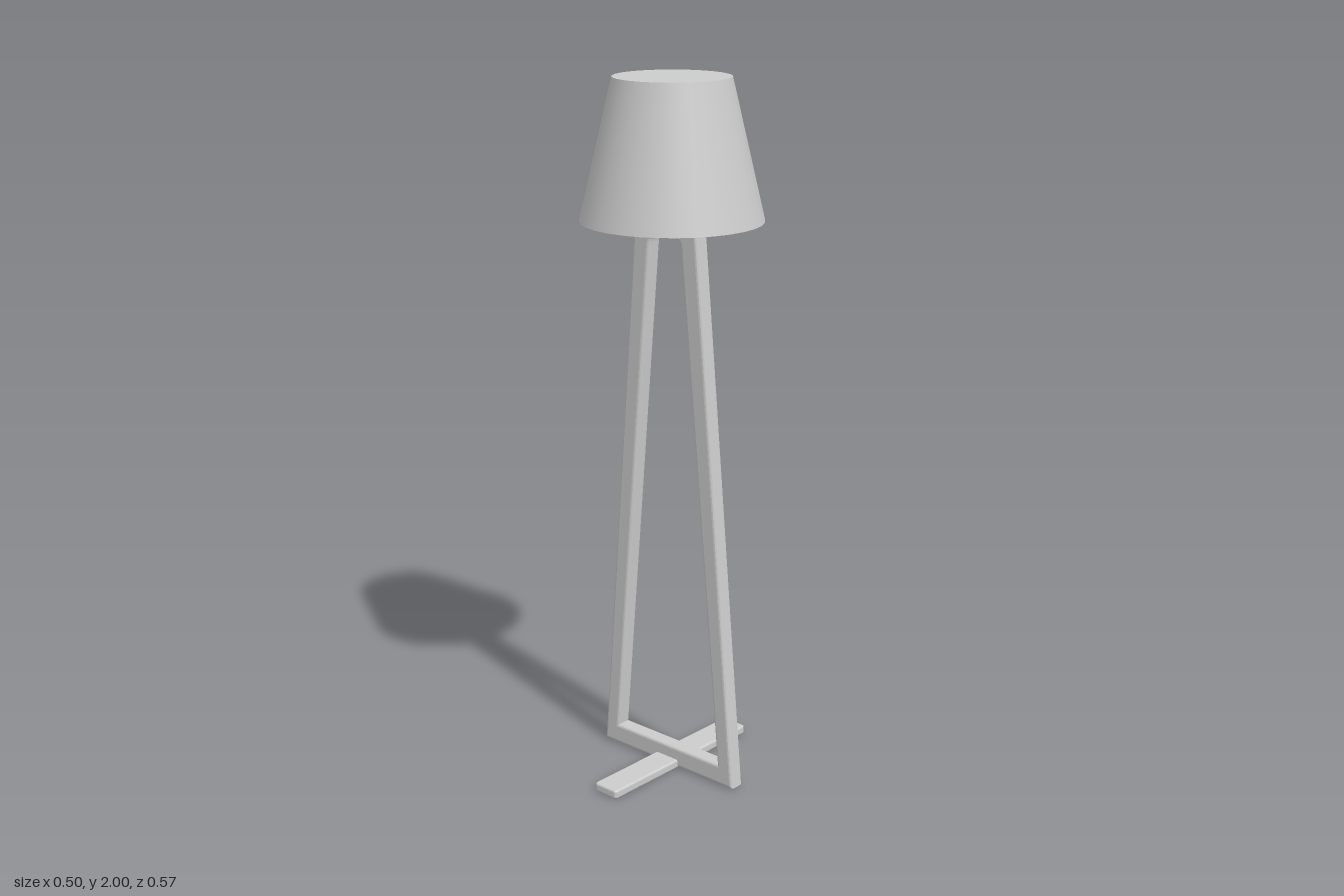
import * as THREE from 'three';

const material = new THREE.MeshStandardMaterial({ color: 0xcccccc });
const thinMaterial = new THREE.MeshStandardMaterial({ color: 0xcccccc, side: THREE.DoubleSide });

function addMesh(parent, name, geometry, mat = material) {
  const mesh = new THREE.Mesh(geometry, mat);
  mesh.name = name;
  parent.add(mesh);
  return mesh;
}

// Extrusion of a given total depth, centred on z, with softened edges inside the outline
function softExtrude(shape, depth, bevel) {
  const geometry = new THREE.ExtrudeGeometry(shape, {
    depth: depth - 2 * bevel, bevelThickness: bevel, bevelSize: bevel,
    bevelOffset: -bevel, bevelSegments: 3, curveSegments: 5,
  });
  return geometry.translate(0, 0, bevel - depth / 2);
}

function rod(parent, name, from, to, radius) {
  const path = new THREE.LineCurve3(new THREE.Vector3(...from), new THREE.Vector3(...to));
  return addMesh(parent, name, new THREE.TubeGeometry(path, 1, radius, 8));
}

export function createModel() {
  const lamp = new THREE.Group();
  lamp.name = 'floorLamp';

  // Tapered frame with a trapezoid opening, rounded at its upper corners
  const outline = new THREE.Shape();
  outline.moveTo(-0.25, 0.003);
  outline.lineTo(0.25, 0.003);
  outline.lineTo(0.102, 1.628);
  outline.lineTo(-0.118, 1.628);
  outline.closePath();
  const opening = new THREE.Path();
  opening.moveTo(-0.195, 0.063);
  opening.lineTo(-0.065, 1.55);
  opening.quadraticCurveTo(-0.063, 1.57, -0.045, 1.57);
  opening.lineTo(0.029, 1.57);
  opening.quadraticCurveTo(0.047, 1.57, 0.049, 1.55);
  opening.lineTo(0.193, 0.063);
  opening.closePath();
  outline.holes.push(opening);
  addMesh(lamp, 'frame', softExtrude(outline, 0.048, 0.009));

  // Flat foot bar crossing under the frame, with rounded corners
  const w = 0.042, l = 0.286, r = 0.012;
  const bar = new THREE.Shape();
  bar.moveTo(-w + r, -l);
  bar.lineTo(w - r, -l);
  bar.quadraticCurveTo(w, -l, w, -l + r);
  bar.lineTo(w, l - r);
  bar.quadraticCurveTo(w, l, w - r, l);
  bar.lineTo(-w + r, l);
  bar.quadraticCurveTo(-w, l, -w, l - r);
  bar.lineTo(-w, -l + r);
  bar.quadraticCurveTo(-w, -l, -w + r, -l);
  const foot = addMesh(lamp, 'foot', softExtrude(bar, 0.026, 0.006));
  foot.rotation.x = -Math.PI / 2;
  foot.position.y = 0.013;

  // Conical shade: open below, closed on top
  const shade = new THREE.Group();
  shade.name = 'shade';
  lamp.add(shade);
  const wall = addMesh(shade, 'shadeWall',
    new THREE.CylinderGeometry(0.161, 0.252, 0.385, 32, 1, true), thinMaterial);
  wall.position.y = 1.8075;
  const top = addMesh(shade, 'shadeTop', new THREE.CircleGeometry(0.161, 32), thinMaterial);
  top.rotation.x = -Math.PI / 2;
  top.position.y = 2;

  // Rods carrying the shade
  for (const side of [-1, 1]) {
    rod(lamp, side > 0 ? 'leftShadeRod' : 'rightShadeRod',
      [-0.008 + side * 0.088, 1.615, 0], [side * 0.15, 1.995, 0], 0.005);
  }

  // Socket and bulb
  const socket = addMesh(lamp, 'socket', new THREE.CylinderGeometry(0.018, 0.022, 0.045, 20));
  socket.position.set(-0.004, 1.645, 0);
  const bulbProfile = new THREE.SplineCurve([
    [0.015, 1.66], [0.02, 1.675], [0.038, 1.7], [0.047, 1.73],
    [0.041, 1.757], [0.022, 1.775], [0, 1.78],
  ].map(([x, y]) => new THREE.Vector2(x, y))).getPoints(20);
  bulbProfile[20].x = 0;
  const bulb = addMesh(lamp, 'bulb', new THREE.LatheGeometry(bulbProfile, 24));
  bulb.position.x = -0.004;

  return lamp;
}
